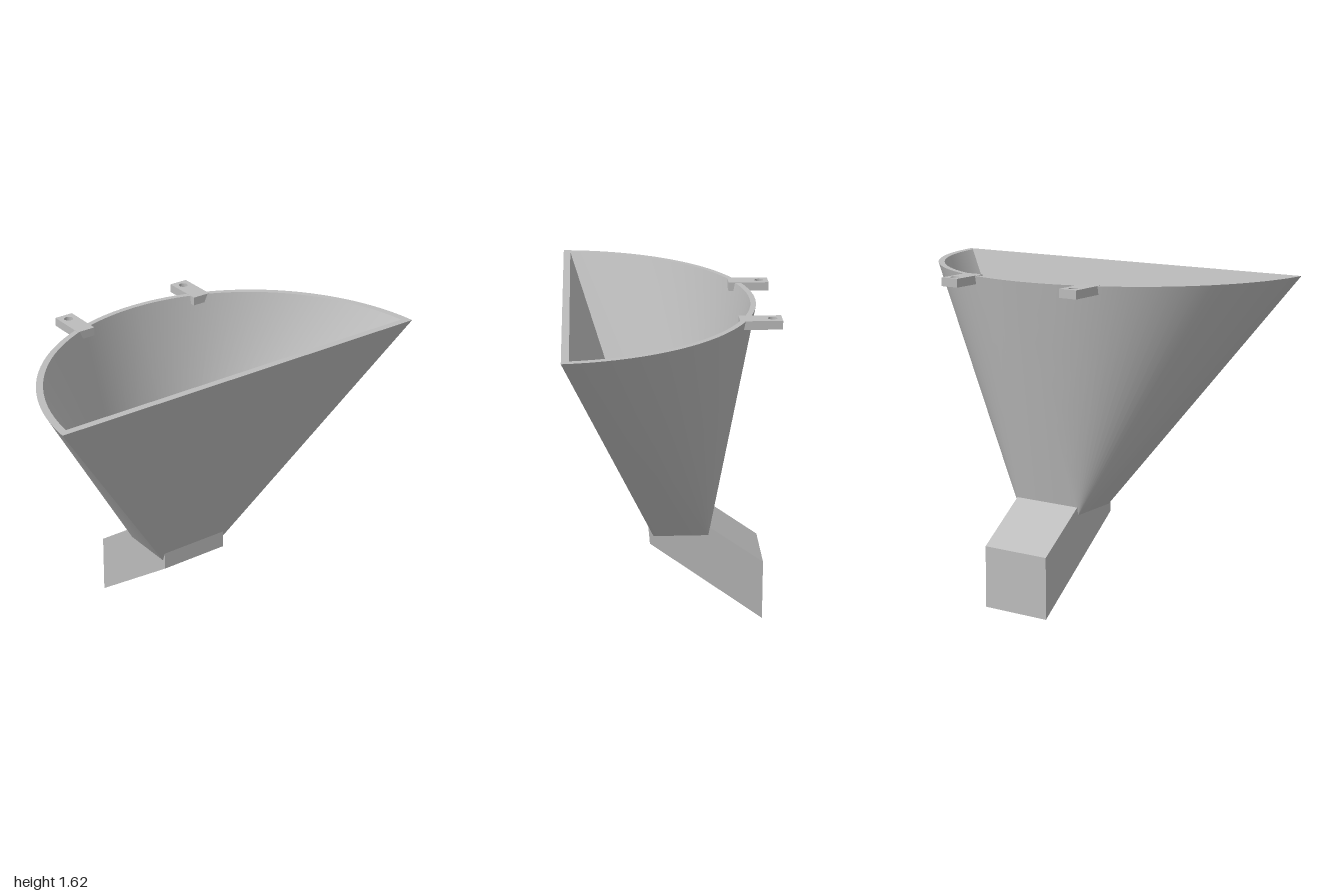
import * as THREE from 'three';
import { toCreasedNormals } from 'three/addons/utils/BufferGeometryUtils.js';

const TOP = 1.62, NECK = 0.46, SEG = 48; // SEG is even

// D-shaped loop: from the left front tip, round the back, to the right front tip
function dLoop(halfWidth, frontZ, backZ) {
  const s = frontZ - backZ;
  const r = (halfWidth * halfWidth + s * s) / (2 * s);
  const cz = backZ + r;
  const a0 = Math.atan2(cz - frontZ, halfWidth);
  const pts = [];
  for (let i = 0; i <= SEG; i++) {
    const a = a0 + (Math.PI - 2 * a0) * i / SEG;
    pts.push([r * Math.cos(a), TOP, cz - r * Math.sin(a)]);
  }
  return pts;
}

function neckLoop(x, front, back) {
  return [[x, NECK, front], [x, NECK, back], [-x, NECK, back], [-x, NECK, front]];
}

// Skin between the rectangular neck and the D-shaped mouth
function skin(b, t, inward) {
  const tris = [];
  const tri = (p, q, r) => tris.push(...(inward ? [p, r, q] : [p, q, r]));
  const mid = SEG / 2;
  tri(b[3], b[0], t[0]);            // front panel
  tri(b[3], t[0], t[SEG]);
  tri(b[0], b[1], t[0]);            // flat side panels
  tri(b[2], b[3], t[SEG]);
  tri(b[1], b[2], t[mid]);          // middle of the back
  for (let i = 0; i < SEG; i++) tri(i < mid ? b[1] : b[2], t[i + 1], t[i]);
  return tris;
}

function rim(o, n) {
  const tris = [];
  for (let i = 0; i <= SEG; i++) {
    const j = (i + 1) % (SEG + 1);
    tris.push(o[i], o[j], n[j], o[i], n[j], n[i]);
  }
  return tris;
}

function trisGeometry(tris) {
  const g = new THREE.BufferGeometry();
  g.setAttribute('position', new THREE.Float32BufferAttribute(tris.flat(), 3));
  g.computeVertexNormals();
  return toCreasedNormals(g, Math.PI / 7);
}

// Extrude a (z, y) side profile across x, from x0 to x1
function sideExtrude(profile, x0, x1) {
  const shape = new THREE.Shape(profile.map(([z, y]) => new THREE.Vector2(z, y)));
  const g = new THREE.ExtrudeGeometry(shape, { depth: x1 - x0, bevelEnabled: false });
  return g.rotateY(-Math.PI / 2).translate(x1, 0, 0);
}

export function createModel() {
  const model = new THREE.Group();
  const grey = new THREE.MeshStandardMaterial({ color: 0xbcbcbc });
  grey.name = 'plain grey';
  const add = (name, geometry) => {
    const mesh = new THREE.Mesh(geometry, grey);
    mesh.name = name;
    model.add(mesh);
    return mesh;
  };

  // Funnel with a wall thickness
  const outer = dLoop(1, 0.51, -0.42), inner = dLoop(0.96, 0.475, -0.393);
  add('funnelOuter', trisGeometry(skin(neckLoop(0.18, 0.082, -0.19), outer, false)));
  add('funnelInner', trisGeometry(skin(neckLoop(0.157, 0.065, -0.18), inner, true)));
  add('funnelRim', trisGeometry(rim(outer, inner)));

  // Sloping chute: front, floor, end and roof in one strip, plus two cheeks
  add('chuteBody', sideExtrude([
    [0.1, 0.42], [0.1, 0.525], [0.08, 0.5], [0.08, 0.434], [-0.442, 0.046],
    [-0.442, 0.298], [-0.18, 0.486], [-0.195, 0.503], [-0.465, 0.31], [-0.465, 0.005],
  ].map(([z, y]) => [z, y === 0.005 ? 0 : y]), -0.157, 0.157));
  const cheek = [
    [0.1, 0.42], [0.1, 0.525], [0.08, 0.46], [-0.185, 0.46],
    [-0.195, 0.503], [-0.465, 0.31], [-0.465, 0],
  ];
  add('chuteCheekLeft', sideExtrude(cheek, 0.157, 0.18));
  add('chuteCheekRight', sideExtrude(cheek, -0.18, -0.157));

  // Mounting tabs with a screw hole, drawn flat and laid under the rim level
  for (const side of [1, -1]) {
    const tab = new THREE.Shape([[-0.047, 0.315], [0.047, 0.315], [0.047, 0.515], [-0.047, 0.515]]
      .map(([x, y]) => new THREE.Vector2(x, y)));
    const hole = new THREE.Path();
    hole.absarc(0, 0.47, 0.022, 0, Math.PI * 2, true);
    tab.holes.push(hole);
    const g = new THREE.ExtrudeGeometry(tab, { depth: 0.042, bevelEnabled: false, curveSegments: 20 });
    g.rotateX(-Math.PI / 2).translate(side * 0.342, TOP - 0.041, 0);
    add(side > 0 ? 'mountingTabLeft' : 'mountingTabRight', g);
  }
  return model;
}
